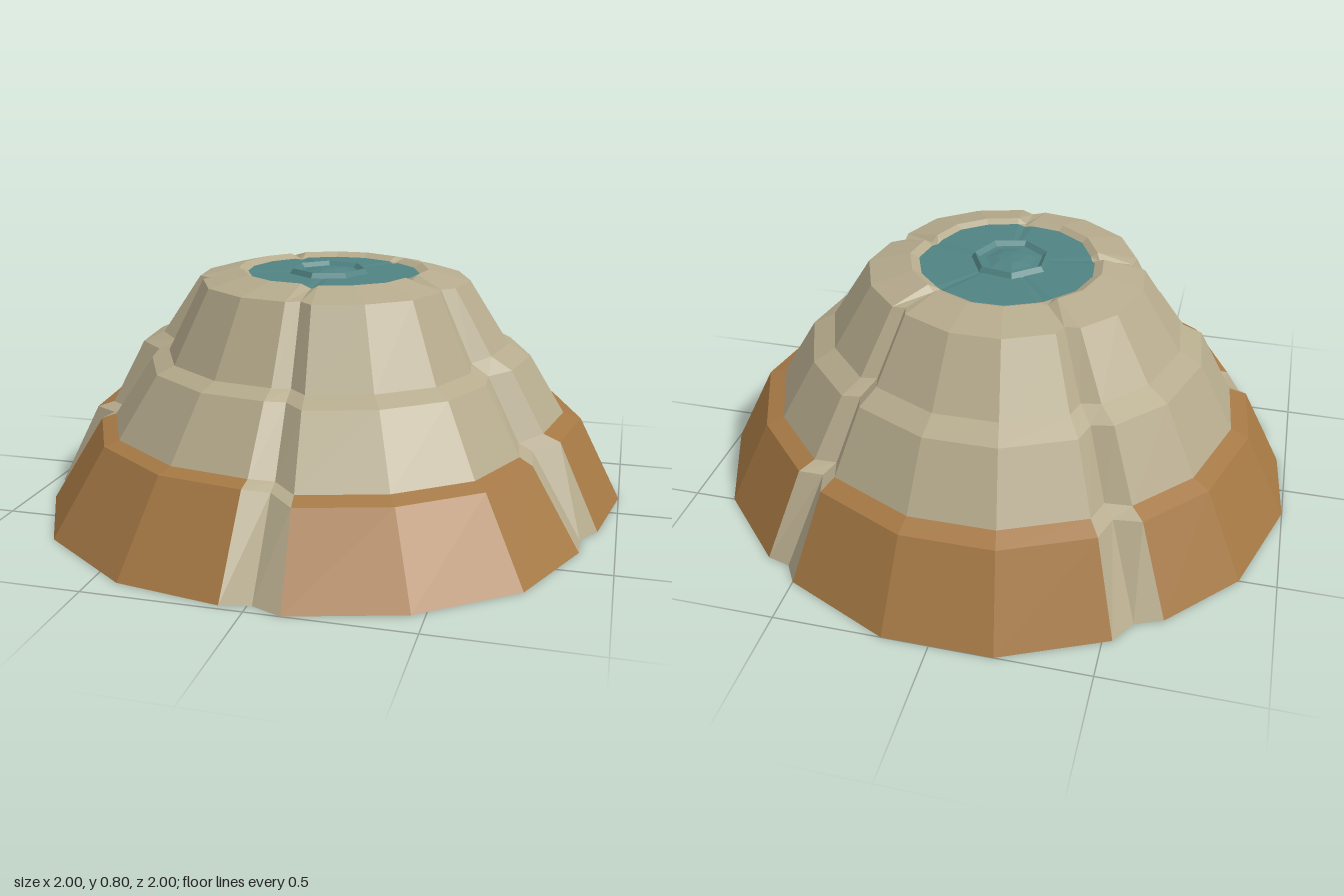
import * as THREE from 'three';

// Five faceted sectors: base corners [x, z], running from the front towards +x.
// r = scale of the corners at each level, y = height of each level.
const WIDE = [1, 0.855, 0.795, 0.675, 0.6, 0.465, 0.325, 0.295];
const NARROW = [1, 0.82, 0.77, 0.635, 0.575, 0.45, 0.31, 0.288];
const SECTORS = [
  { name: 'frontLeft', r: NARROW, y: [0, 0.25, 0.27, 0.485, 0.515, 0.765, 0.798, 0.785],
    base: [[0.11, 1.0], [0.46, 0.9], [0.75, 0.68], [0.89, 0.36]] },
  { name: 'left', r: WIDE, y: [0, 0.29, 0.31, 0.51, 0.55, 0.765, 0.8, 0.785],
    base: [[0.94, 0.18], [1.0, -0.14], [0.86, -0.5], [0.62, -0.75]] },
  { name: 'back', r: WIDE, y: [0, 0.285, 0.31, 0.52, 0.56, 0.768, 0.8, 0.785],
    base: [[0.5, -0.84], [0.15, -1.0], [-0.2, -1.0], [-0.53, -0.85]] },
  { name: 'right', r: WIDE, y: [0, 0.285, 0.305, 0.53, 0.565, 0.765, 0.8, 0.785],
    base: [[-0.67, -0.73], [-0.88, -0.5], [-1.0, -0.13], [-0.97, 0.18]] },
  { name: 'frontRight', r: NARROW, y: [0, 0.285, 0.3, 0.5, 0.525, 0.768, 0.8, 0.785],
    base: [[-0.92, 0.34], [-0.75, 0.68], [-0.42, 0.92], [-0.08, 0.98]] },
];
const LEVELS = 8;

// Vertical column of points above one base corner of a sector
function column(sector, corner) {
  const [x, z] = sector.base[corner];
  return sector.r.map((r, l) => [x * r, sector.y[l], z * r]);
}

// Valley column sunk between two neighbouring columns
function valley(a, b) {
  return a.map((p, l) => {
    const k = l === 0 ? 0.97 : l < 6 ? 0.94 : 0.99;
    const drop = l === 6 ? 0.018 : l === 7 ? 0.005 : 0;
    return [(p[0] + b[l][0]) / 2 * k, (p[1] + b[l][1]) / 2 - drop, (p[2] + b[l][2]) / 2 * k];
  });
}

function flatMesh(name, triangles, material) {
  const geometry = new THREE.BufferGeometry();
  geometry.setAttribute('position', new THREE.Float32BufferAttribute(triangles.flat(), 3));
  geometry.computeVertexNormals();
  const mesh = new THREE.Mesh(geometry, material);
  mesh.name = name;
  return mesh;
}

// Faceted skin across a row of columns between two levels
function skin(columns, from, to) {
  const t = [];
  for (let c = 0; c < columns.length - 1; c++) {
    for (let l = from; l < to; l++) {
      const a = columns[c][l], b = columns[c + 1][l];
      const d = columns[c][l + 1], e = columns[c + 1][l + 1];
      t.push(a, b, e, a, e, d);
    }
  }
  return t;
}

export function createModel() {
  const group = new THREE.Group();
  const material = (name, color) => {
    const m = new THREE.MeshStandardMaterial({ color, flatShading: true });
    m.name = name;
    return m;
  };
  const brown = material('brown', 0xa57844);
  const beige = material('beige', 0xb5aa8c);
  const teal = material('teal', 0x508282);

  const sectors = SECTORS.map((s) => s.base.map((_, i) => column(s, i)));
  const outline = [], rim = [];
  sectors.forEach((cols, i) => {
    const next = sectors[(i + 1) % sectors.length];
    const end = cols[cols.length - 1];
    const dip = valley(end, next[0]);
    const label = SECTORS[i].name;

    // Brown lower tier with its ledge, and the beige tiers above
    group.add(flatMesh(label + 'LowerTier', skin(cols, 0, 2), brown));
    group.add(flatMesh(label + 'UpperTiers', skin(cols, 2, LEVELS - 1), beige));
    // V-shaped groove up to the next sector
    group.add(flatMesh(label + 'Groove', skin([end, dip, next[0]], 0, LEVELS - 1), beige));

    [...cols, dip].forEach((c) => {
      outline.push(c[0]);
      rim.push(c[LEVELS - 1]);
    });
  });

  // Flat underside and teal top plate, closed as fans
  const under = [], top = [];
  outline.forEach((p, i) => {
    const j = (i + 1) % outline.length;
    under.push([0, 0, 0], outline[j], p);
    top.push([0, 0.787, 0], rim[i], rim[j]);
  });
  group.add(flatMesh('underside', under, brown));
  group.add(flatMesh('topPlate', top, teal));

  // Seven-sided raised ring around a low faceted gem
  const profile = [[0.138, 0.783], [0.124, 0.803], [0.108, 0.789], [0.085, 0.79], [0.045, 0.8], [0, 0.803]];
  const gem = new THREE.Mesh(
    new THREE.LatheGeometry(profile.map(([r, y]) => new THREE.Vector2(r, y)), 7), teal);
  gem.name = 'centreGem';
  gem.position.set(-0.01, 0, 0.01);
  gem.rotation.y = -0.2;
  gem.material.side = THREE.DoubleSide;
  group.add(gem);

  return group;
}
